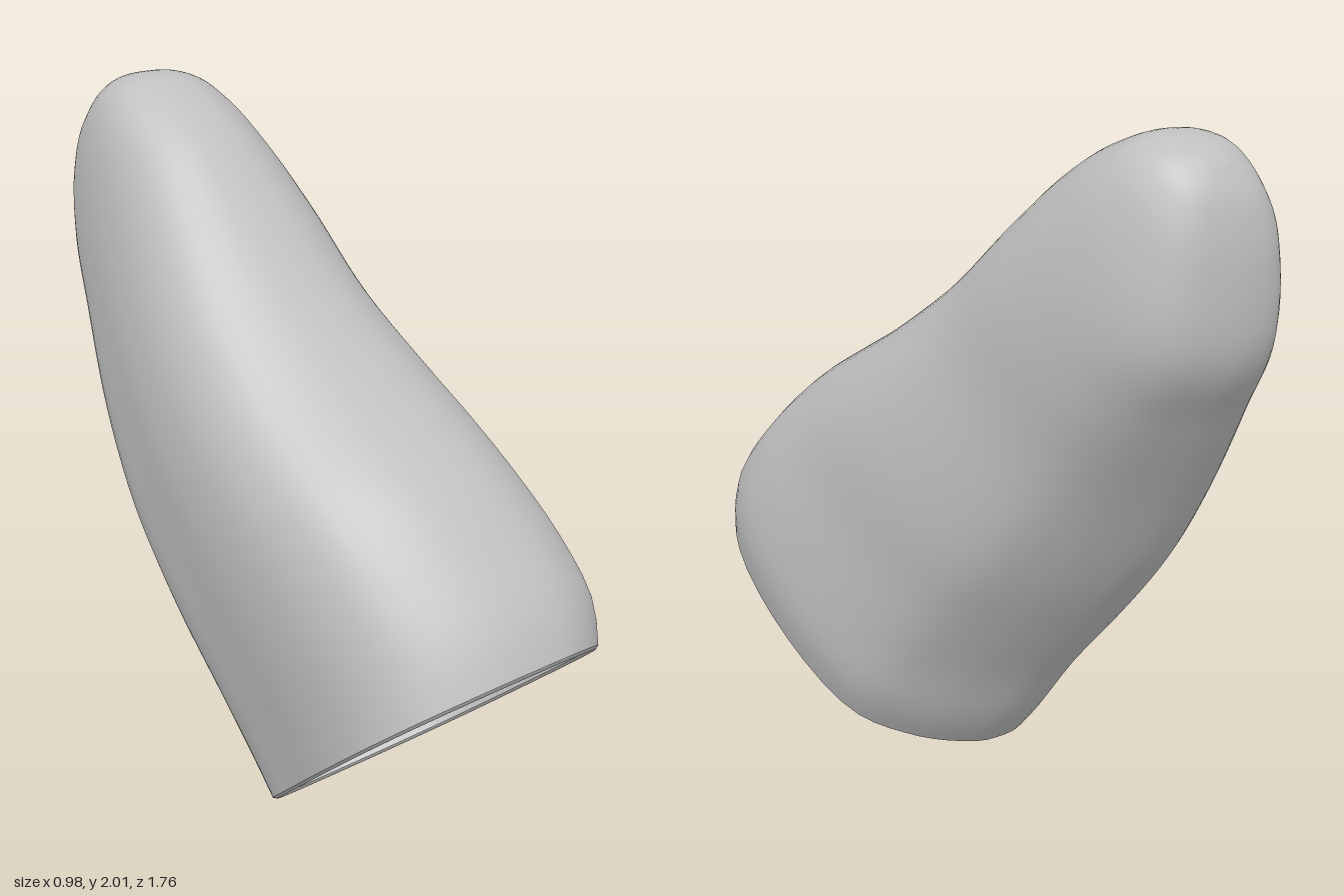
import * as THREE from 'three';

const SEGMENTS = 60, RINGS = 48, WALL = 0.022;

const loop = (points) =>
  new THREE.CatmullRomCurve3(points.map(([u, v]) => new THREE.Vector3(u, v, 0)), true);

// Lopsided cross-section, normalised to -1..1
const section = loop([
  [-1, -0.35], [-1, 0.12], [-0.89, 0.56], [-0.66, 0.83], [-0.24, 0.98], [0.2, 1],
  [0.56, 0.94], [0.86, 0.76], [0.99, 0.46], [0.89, -0.1], [0.58, -0.64], [0.18, -0.86],
  [-0.22, -0.97], [-0.52, -1], [-0.84, -0.94], [-0.97, -0.76],
]);

// Rounder cross-section that takes over toward the tip
const tipSection = loop([
  [-1, -0.3], [-0.97, 0.1], [-0.86, 0.5], [-0.68, 0.78], [-0.4, 0.95], [0, 1],
  [0.45, 0.93], [0.8, 0.7], [0.97, 0.4], [1, 0], [0.86, -0.5], [0.58, -0.86],
  [0.1, -0.99], [-0.38, -1], [-0.76, -0.9], [-0.95, -0.62],
]);

// Stations along the leaning axis: distance, left, right, underside, top
const stations = [
  [-0.05, -0.315, 0.475, 0.065, 1.125],
  [0.06, -0.335, 0.49, 0.07, 1.16],
  [0.28, -0.39, 0.455, 0.11, 1.174],
  [0.49, -0.435, 0.4, 0.125, 1.16],
  [0.71, -0.466, 0.345, 0.142, 1.1],
  [0.85, -0.48, 0.3, 0.16, 1.062],
  [1.14, -0.49, 0.2, 0.215, 1.016],
  [1.43, -0.475, 0.133, 0.27, 0.997],
  [1.66, -0.455, 0.065, 0.32, 0.972],
  [1.82, -0.43, 0.0, 0.44, 0.92],
  [1.92, -0.385, -0.065, 0.545, 0.855],
  [1.97, -0.325, -0.13, 0.625, 0.78],
  [1.988, -0.265, -0.19, 0.68, 0.73],
];
const START = stations[0][0], END = stations[stations.length - 1][0];
const profile = new THREE.CubicInterpolant(
  stations.map((s) => s[0]), stations.flatMap((s) => s.slice(1)), 4);

// Turns axis coordinates (across, up the section, along the axis) into model space
const place = (x, v, w) => new THREE.Vector3(x, 0.664 * v + 0.748 * w, 0.748 * v - 0.664 * w);

function ring(w, inset = 0, shift = 0) {
  const [left, right, under, top] = profile.evaluate(w);
  const blend = 0.75 * THREE.MathUtils.smoothstep(w, 0.8, 1.8);
  // The open end is cut slightly askew
  const skew = 0.11 * (1 - THREE.MathUtils.smoothstep(w, START, 0.6));
  return Array.from({ length: SEGMENTS }, (_, j) => {
    const t = j / SEGMENTS;
    const p = section.getPoint(t).lerp(tipSection.getPoint(t), blend);
    const x = (left + right) / 2 + p.x * ((right - left) / 2 - inset);
    const v = (under + top) / 2 + p.y * ((top - under) / 2 - inset);
    return place(x, v, w + shift + skew * (x - 0.05));
  });
}

// Skins a list of rings, with an optional closing point
function skin(rings, apex, flip = false) {
  const points = rings.flat();
  const index = [];
  const tri = (a, b, c) => index.push(...(flip ? [a, c, b] : [a, b, c]));
  const next = (j) => (j + 1) % SEGMENTS;
  for (let k = 0; k < rings.length - 1; k++) {
    for (let j = 0; j < SEGMENTS; j++) {
      const a = k * SEGMENTS, b = a + SEGMENTS;
      tri(a + j, a + next(j), b + next(j));
      tri(a + j, b + next(j), b + j);
    }
  }
  if (apex) {
    const last = (rings.length - 1) * SEGMENTS;
    for (let j = 0; j < SEGMENTS; j++) tri(last + j, last + next(j), points.length);
    points.push(apex);
  }
  const geometry = new THREE.BufferGeometry().setFromPoints(points);
  geometry.setIndex(index);
  geometry.computeVertexNormals();
  return geometry;
}

export function createModel() {
  const model = new THREE.Group();
  model.name = 'hollowSleeve';
  const grey = new THREE.MeshStandardMaterial({ color: 0xc0c0c0 });
  grey.name = 'light grey';

  const add = (name, geometry) => {
    const mesh = new THREE.Mesh(geometry, grey);
    mesh.name = name;
    model.add(mesh);
  };

  // Rings crowd together toward the rounded tip
  const distances = Array.from({ length: RINGS + 1 }, (_, k) =>
    START + (END - START) * Math.sin((k / RINGS) * Math.PI / 2));

  add('outerShell', skin(distances.map((w) => ring(w)), place(-0.2275, 0.705, 1.99)));
  add('innerLining', skin(distances.map((w) => ring(w, WALL, -WALL * Math.max(0, w) / END)),
    place(-0.2275, 0.705, 1.968), true));

  // Softly rounded lip around the open end
  add('rim', skin([ring(START, WALL), ring(START, WALL / 2, -0.008), ring(START)]));

  return model;
}
